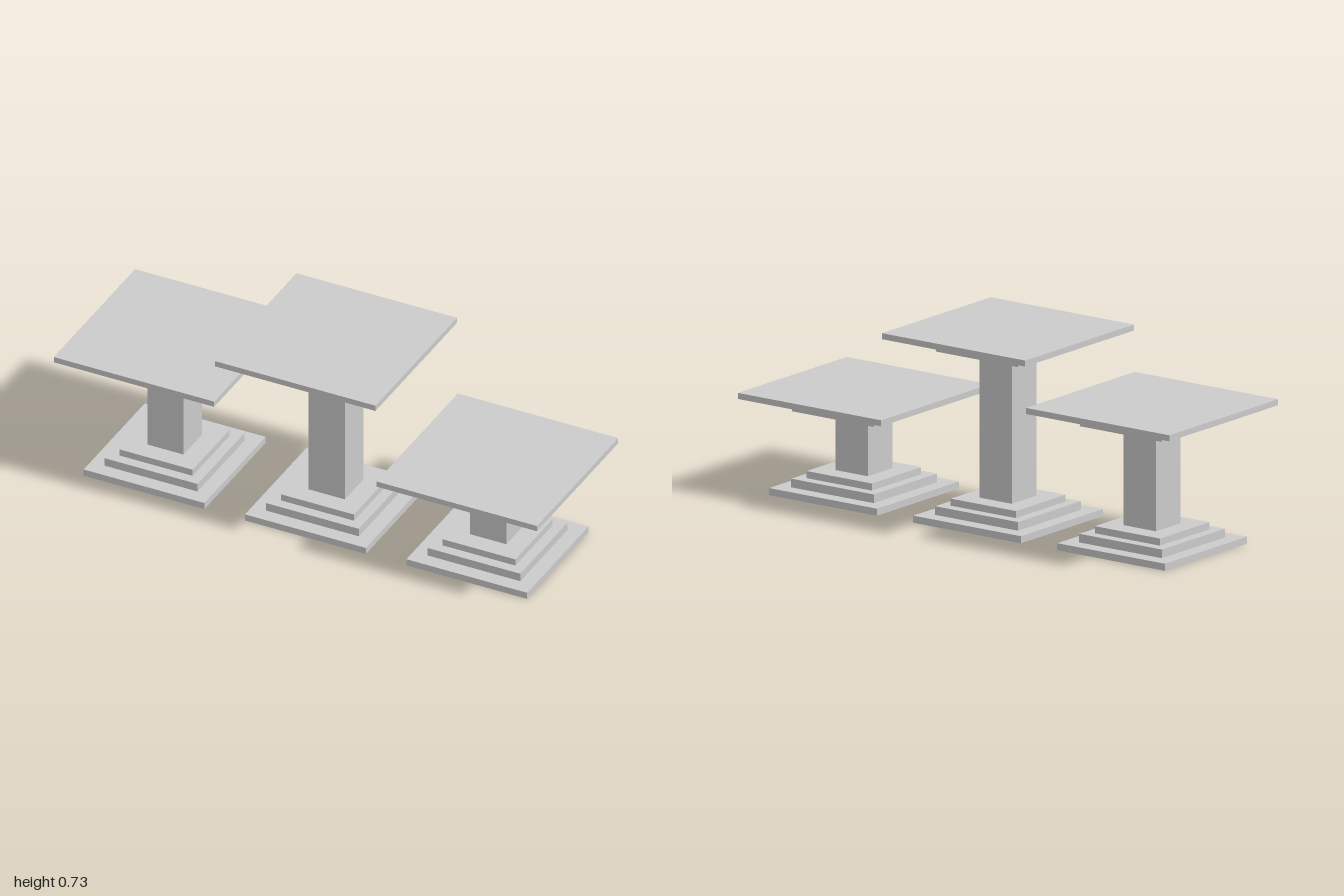
import * as THREE from 'three';

const material = new THREE.MeshStandardMaterial({ color: 0xcccccc, flatShading: true });

// Square slab of the given half width between two heights
function slab(name, half, bottom, top) {
  const mesh = new THREE.Mesh(new THREE.BoxGeometry(half * 2, top - bottom, half * 2), material);
  mesh.position.y = (bottom + top) / 2;
  mesh.name = name;
  return mesh;
}

// Pedestal: stepped base, square column, stepped capital and wide top
function pedestal(name, x, height) {
  const group = new THREE.Group();
  group.name = name;
  group.position.x = x;
  group.add(
    slab('baseLower', 0.25, 0, 0.027),
    slab('baseMiddle', 0.192, 0.027, 0.06),
    slab('baseUpper', 0.151, 0.06, 0.087),
    slab('column', 0.075, 0.087, height - 0.077),
    slab('capitalLower', 0.19, height - 0.077, height - 0.05),
    slab('capitalUpper', 0.25, height - 0.05, height - 0.023),
    slab('topSlab', 0.332, height - 0.023, height)
  );
  return group;
}

export function createModel() {
  const model = new THREE.Group();
  model.name = 'pedestalSet';
  model.add(
    pedestal('rightPedestal', -0.668, 0.547),
    pedestal('centrePedestal', 0, 0.727),
    pedestal('leftPedestal', 0.668, 0.394)
  );
  return model;
}
